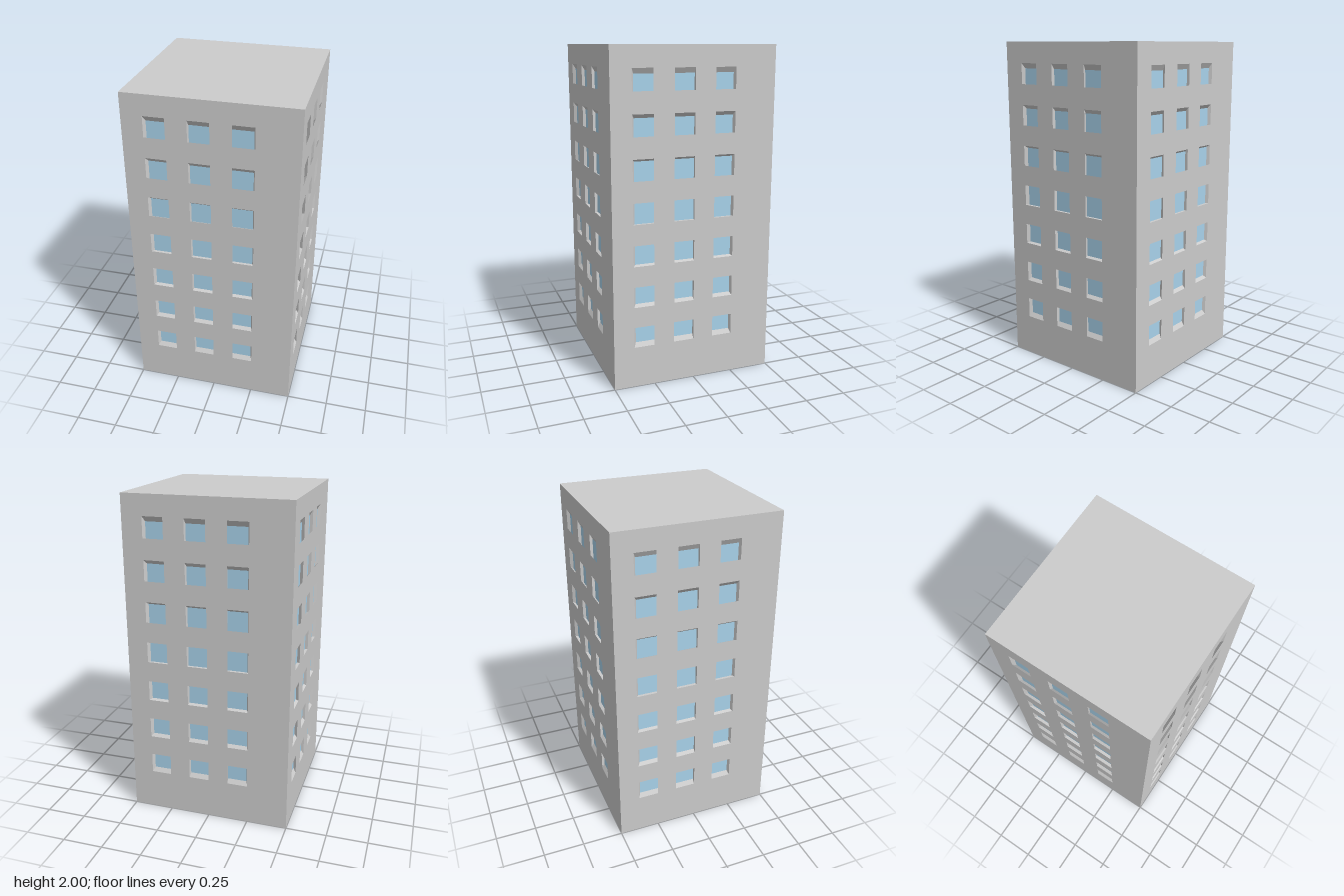
import * as THREE from 'three';
import { mergeGeometries } from 'three/addons/utils/BufferGeometryUtils.js';

const HALF = 0.5, HEIGHT = 2, WINDOW = 0.125;
const INSET = 0.965; // recessed panes shrink toward the building's centre
const COLUMNS = [-0.375, -0.125, 0.125];
const ROWS = [0.25, 0.5, 0.75, 1, 1.25, 1.5, 1.75];

// Corners of a window opening, counter-clockwise from outside
const corners = (x, y) => [
  new THREE.Vector2(x, y),
  new THREE.Vector2(x + WINDOW, y),
  new THREE.Vector2(x + WINDOW, y + WINDOW),
  new THREE.Vector2(x, y + WINDOW),
];

function quad(...points) {
  const [a, b, c, d] = points;
  const geometry = new THREE.BufferGeometry().setFromPoints([a, b, c, a, c, d]);
  geometry.computeVertexNormals();
  return geometry;
}

// Geometry of one side: wall with openings, slanted reveals, glass
function sideGeometries() {
  const wall = new THREE.Shape([
    new THREE.Vector2(-HALF, 0), new THREE.Vector2(HALF, 0),
    new THREE.Vector2(HALF, HEIGHT), new THREE.Vector2(-HALF, HEIGHT),
  ]);
  const reveals = [], panes = [];
  for (const y of ROWS) {
    for (const x of COLUMNS) {
      const rim = corners(x, y);
      wall.holes.push(new THREE.Path(rim));
      const outer = rim.map((p) => new THREE.Vector3(p.x, p.y, HALF));
      const inner = rim.map((p) => new THREE.Vector3(
        p.x * INSET, 1 + (p.y - 1) * INSET, HALF * INSET));
      for (let i = 0; i < 4; i++) {
        const j = (i + 1) % 4;
        reveals.push(quad(outer[i], outer[j], inner[j], inner[i]));
      }
      panes.push(quad(...inner));
    }
  }
  return {
    wall: new THREE.ShapeGeometry(wall).translate(0, 0, HALF),
    windowReveals: mergeGeometries(reveals),
    windowPanes: mergeGeometries(panes),
  };
}

export function createModel() {
  const model = new THREE.Group();
  model.name = 'towerBlock';
  const concrete = new THREE.MeshStandardMaterial({ color: 0xcccccc });
  const glass = new THREE.MeshStandardMaterial({ color: 0xa8d2ea });

  function addPart(parent, name, geometry, material) {
    const mesh = new THREE.Mesh(geometry, material);
    mesh.name = name;
    parent.add(mesh);
    return mesh;
  }

  // The same facade turned around all four sides
  const side = sideGeometries();
  ['front', 'left', 'back', 'right'].forEach((name, i) => {
    const facade = new THREE.Group();
    facade.name = name + 'Facade';
    facade.rotation.y = i * Math.PI / 2;
    addPart(facade, 'wall', side.wall, concrete);
    addPart(facade, 'windowReveals', side.windowReveals, concrete);
    addPart(facade, 'windowPanes', side.windowPanes, glass);
    model.add(facade);
  });

  // Flat roof and underside
  const slab = new THREE.PlaneGeometry(2 * HALF, 2 * HALF);
  const roof = addPart(model, 'roof', slab, concrete);
  roof.rotation.x = -Math.PI / 2;
  roof.position.y = HEIGHT;
  addPart(model, 'base', slab, concrete).rotation.x = Math.PI / 2;

  return model;
}
